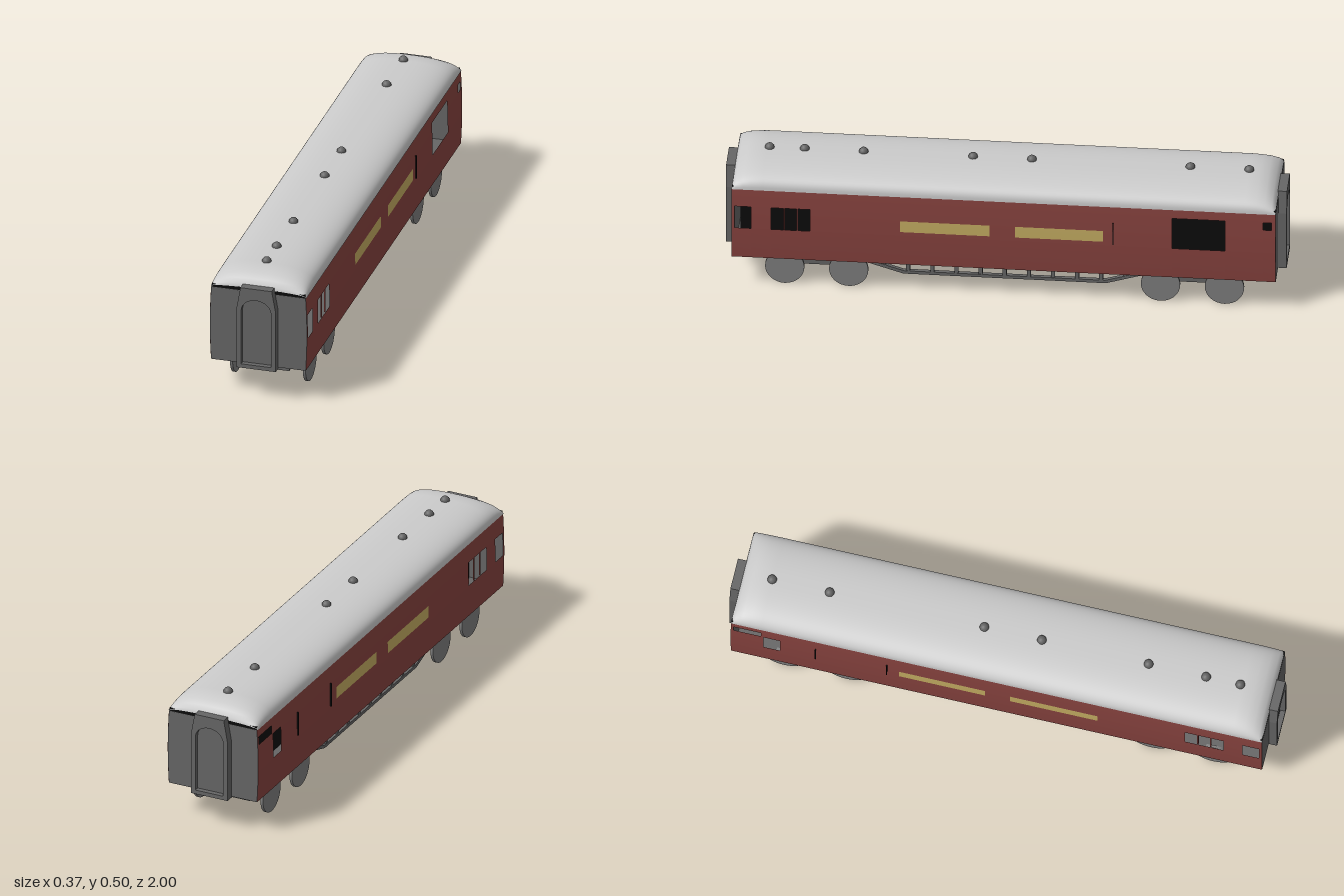
import * as THREE from 'three';

const mat = (color, side = THREE.FrontSide) => new THREE.MeshStandardMaterial({ color, side });
const RED = mat(0x8a4440, THREE.DoubleSide), YELLOW = mat(0xc8b064, THREE.DoubleSide);
const ROOF = mat(0xcccccc, THREE.DoubleSide), DARK = mat(0x666666), WHEEL = mat(0x808080), BLACK = mat(0x0c0c0c);

const LEN = 0.97, FLOOR = 0.125, EAVE = 0.41;
// bulging half width of the body at height y
const halfWidth = y => 0.18 - 0.23 * (y - 0.265) ** 2;

export function createModel() {
  const model = new THREE.Group();
  const add = (name, geometry, material, x = 0, y = 0, z = 0, parent = model) => {
    const mesh = new THREE.Mesh(geometry, material);
    mesh.name = name;
    mesh.position.set(x, y, z);
    parent.add(mesh);
    return mesh;
  };
  const box = (name, w, h, d, material, x, y, z, parent) =>
    add(name, new THREE.BoxGeometry(w, h, d), material, x, y, z, parent);

  // surface swept through equal-length cross-sections
  const loft = sections => {
    const n = sections[0].length, index = [];
    for (let i = 0; i < sections.length - 1; i++)
      for (let j = 0; j < n - 1; j++) {
        const a = i * n + j, b = a + n;
        index.push(a, b, a + 1, b, b + 1, a + 1);
      }
    const g = new THREE.BufferGeometry();
    g.setAttribute('position', new THREE.Float32BufferAttribute(sections.flat(2), 3));
    g.setIndex(index);
    g.computeVertexNormals();
    return g;
  };

  // curved wall patch on one side, between two lengths and two heights
  const patch = (name, s, [z0, z1, y0, y1], material, out = 0) => {
    const ys = [0, 1, 2, 3, 4].map(i => y0 + (y1 - y0) * i / 4);
    const row = z => ys.map(y => [s * (halfWidth(y) + out), y, z]);
    const order = s > 0 ? [z1, z0] : [z0, z1];
    add(name, loft(order.map(row)), material);
  };

  // side walls, built as cells that leave the windows open
  const shared = [[0.9, 0.96, 0.25, 0.34], [0.69, 0.83, 0.25, 0.34]];
  const windows = {
    1: [...shared, [-0.79, -0.6, 0.25, 0.375], [-0.955, -0.925, 0.345, 0.375]],
    '-1': [...shared, [-0.85, -0.79, 0.25, 0.345], [-0.96, -0.86, 0.35, 0.38]],
  };
  for (const s of [1, -1]) {
    const holes = windows[s];
    const breaks = k => [...new Set([...holes.flatMap(h => [h[k], h[k + 1]]),
      ...(k ? [FLOOR, EAVE] : [-LEN, LEN])])].sort((a, b) => a - b);
    const zs = breaks(0), ys = breaks(2);
    for (let i = 0; i < zs.length - 1; i++)
      for (let j = 0; j < ys.length - 1; j++) {
        const z = (zs[i] + zs[i + 1]) / 2, y = (ys[j] + ys[j + 1]) / 2;
        if (!holes.some(h => z > h[0] && z < h[1] && y > h[2] && y < h[3]))
          patch('sideWall', s, [zs[i], zs[i + 1], ys[j], ys[j + 1]], RED);
      }
    for (const z of [0.783, 0.736]) box('windowBar', 0.004, 0.09, 0.005, RED, s * 0.177, 0.295, z);
    patch('sideBoard', s, [0.05, 0.37, 0.265, 0.31], YELLOW, 0.001);
    patch('sideBoard', s, [-0.355, -0.04, 0.265, 0.31], YELLOW, 0.001);
    for (const z of s > 0 ? [-0.39] : [-0.4, -0.66])
      box('handrail', 0.006, 0.09, 0.004, BLACK, s * 0.181, 0.3, z);
  }
  box('interior', 0.1, 0.27, 1.9, BLACK, 0, 0.262, 0);
  box('floor', 0.346, 0.008, 1.93, DARK, 0, 0.13, 0);

  // roof: flattened arch dropping away at both ends
  const rise = [[0.97, 0.2], [0.967, 0.4], [0.955, 0.65], [0.93, 0.85], [0.9, 0.95], [0.86, 1]];
  const stations = [...rise, ...rise.slice().reverse().map(([z, h]) => [-z, h])];
  const arch = ([z, h]) => Array.from({ length: 33 }, (_, i) => {
    const a = Math.PI * i / 32, c = Math.cos(a);
    return [0.177 * Math.sign(c) * Math.abs(c) ** 0.8, EAVE + 0.068 * h * Math.sin(a) ** 0.8, z];
  });
  add('roof', loft(stations.map(arch)), ROOF);
  for (const z of [-0.86, -0.65, -0.085, 0.125, 0.515, 0.725, 0.85])
    add('roofVent', new THREE.SphereGeometry(0.017, 16, 10), DARK, -0.005, 0.478, z);

  // end walls and gangways, the same at both ends
  const endShape = new THREE.Shape();
  const edge = Array.from({ length: 9 }, (_, i) => FLOOR + (EAVE - FLOOR) * i / 8);
  endShape.setFromPoints([...edge.map(y => new THREE.Vector2(halfWidth(y) - 0.0005, y)),
    ...edge.slice().reverse().map(y => new THREE.Vector2(0.0005 - halfWidth(y), y))]);
  const frame = new THREE.Shape([[-0.073, 0.12], [0.073, 0.12], [0.073, 0.35], [0.058, 0.435],
    [-0.058, 0.435], [-0.073, 0.35]].map(p => new THREE.Vector2(...p)));
  const doorway = new THREE.Path();
  doorway.moveTo(-0.055, 0.135).lineTo(0.055, 0.135).lineTo(0.055, 0.345);
  doorway.absellipse(0, 0.345, 0.055, 0.046, 0, Math.PI);
  doorway.closePath();
  frame.holes.push(doorway);
  const extrude = (shape, depth) =>
    new THREE.ExtrudeGeometry(shape, { depth, bevelEnabled: false, curveSegments: 16 });
  for (const turn of [0, Math.PI]) {
    const end = new THREE.Group();
    end.name = 'carriageEnd';
    end.rotation.y = turn;
    model.add(end);
    add('endWall', extrude(endShape, 0.01), DARK, 0, 0, LEN - 0.01, end);
    box('eaveBand', 0.346, 0.014, 0.006, BLACK, 0, EAVE + 0.005, LEN - 0.004, end);
    add('gangwayFrame', extrude(frame, 0.035), DARK, 0, 0, 0.965, end);
    box('gangwayDoor', 0.112, 0.26, 0.01, DARK, 0, 0.264, 0.976, end);
  }

  // underframe with trussed side girders
  box('underframe', 0.28, 0.016, 1.76, DARK, 0, 0.118, 0);
  const girder = [[0.52, 0.118], [0.36, 0.068], [-0.36, 0.068], [-0.52, 0.118]];
  for (const s of [1, -1]) {
    for (let i = 0; i < 3; i++) {
      const [z0, y0] = girder[i], [z1, y1] = girder[i + 1];
      const bar = box('trussBar', 0.014, 0.012, Math.hypot(z1 - z0, y1 - y0) + 0.004, DARK,
        s * 0.131, (y0 + y1) / 2, (z0 + z1) / 2);
      bar.rotation.x = Math.atan2(y1 - y0, z0 - z1);
    }
    for (let i = 0; i < 11; i++) {
      const z = -0.43 + 0.086 * i, low = Math.abs(z) > 0.36 ? 0.09 : 0.068;
      box('trussPost', 0.012, 0.116 - low, 0.014, DARK, s * 0.131, (0.116 + low) / 2, z);
    }
  }
  for (let i = 0; i < 11; i++) box('crossBeam', 0.25, 0.012, 0.014, DARK, 0, 0.108, -0.43 + 0.086 * i);

  // bogies
  for (const s of [1, -1]) {
    const bogie = new THREE.Group();
    bogie.name = 'bogie';
    bogie.position.z = s * 0.67;
    model.add(bogie);
    box('bogieBody', 0.14, 0.052, 0.3, DARK, 0, 0.066, 0, bogie);
    add('bogiePivot', new THREE.CylinderGeometry(0.04, 0.04, 0.024, 24), DARK, 0, 0.101, 0, bogie);
    for (const z of [-0.114, 0.114]) {
      const rod = (name, r, length, material, x) => {
        add(name, new THREE.CylinderGeometry(r, r, length, 32), material, x, 0.07, z, bogie).rotation.z = Math.PI / 2;
      };
      rod('axle', 0.007, 0.27, DARK, 0);
      rod('axleSleeve', 0.009, 0.22, DARK, 0);
      for (const side of [1, -1]) rod('wheel', 0.07, 0.01, WHEEL, side * 0.135);
    }
  }
  return model;
}
